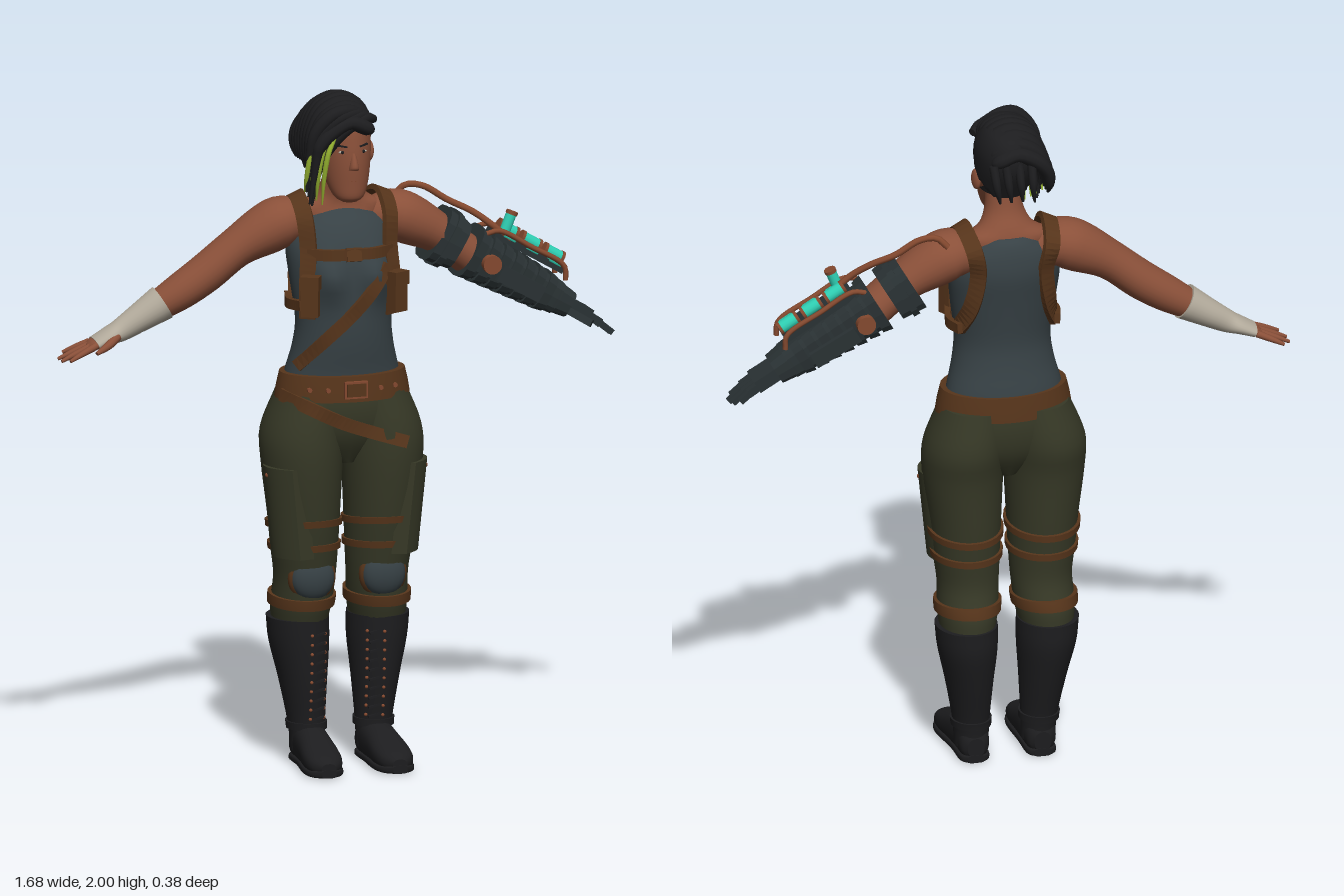
import * as THREE from 'three';

const V = (x, y, z) => new THREE.Vector3(x, y, z);
const mat = (name, color) => Object.assign(new THREE.MeshStandardMaterial({ color }), { name });
const M = {
  skin: mat('skin', 0x8a5039), tank: mat('slate cloth', 0x374145), olive: mat('olive cloth', 0x363826),
  black: mat('black hair and leather', 0x1d1d1f), brown: mat('brown leather', 0x57351b), copper: mat('copper', 0x84492f),
  wrap: mat('pale wrap', 0xb3ab9c), metal: mat('dark metal', 0x2a3234), teal: mat('teal glass', 0x2fcfb3), lime: mat('lime hair', 0x9cba33),
};

// Joins rings of points into a closed skin with flat ends
function stitch(rings, flat) {
  const n = rings[0].length, pos = [], idx = [];
  rings.forEach(r => r.forEach(p => pos.push(p.x, p.y, p.z)));
  for (let i = 0; i < rings.length - 1; i++) for (let j = 0; j < n; j++) {
    const a = i * n + j, b = i * n + (j + 1) % n;
    idx.push(a, b, a + n, b, b + n, a + n);
  }
  [rings[0], rings[rings.length - 1]].forEach((r, end) => {
    const base = pos.length / 3, c = V(0, 0, 0);
    r.forEach(p => { c.addScaledVector(p, 1 / n); pos.push(p.x, p.y, p.z); });
    pos.push(c.x, c.y, c.z);
    for (let j = 0; j < n; j++) {
      const a = base + j, b = base + (j + 1) % n;
      end ? idx.push(a, b, base + n) : idx.push(b, a, base + n);
    }
  });
  let g = new THREE.BufferGeometry();
  g.setAttribute('position', new THREE.Float32BufferAttribute(pos, 3));
  g.setIndex(idx);
  if (flat) g = g.toNonIndexed();
  g.computeVertexNormals();
  return g;
}

// Smooth loft through three or more rows [x, y, z, radiusU, radiusV]; axis 'y' or 'z' keeps the rings planar
function loft(rows, { axis, seg = 24, sub = 4, power = 2, warp, flat } = {}) {
  const path = new THREE.CatmullRomCurve3(rows.map(r => V(r[0], r[1], r[2])), false, 'catmullrom');
  const size = new THREE.CatmullRomCurve3(rows.map(r => V(r[3], r[4], 0)), false, 'catmullrom');
  const steps = (rows.length - 1) * sub, rings = [], last = rows[rows.length - 1];
  const bend = c => Math.sign(c) * Math.abs(c) ** (2 / power);
  for (let i = 0; i <= steps; i++) {
    const c = path.getPoint(i / steps), s = size.getPoint(i / steps);
    let t = path.getTangent(i / steps), u = V(0, 0, 1);
    if (axis) { t = axis === 'y' ? V(0, Math.sign(last[1] - rows[0][1]), 0) : V(0, 0, Math.sign(last[2] - rows[0][2])); u = V(1, 0, 0); }
    u.addScaledVector(t, -u.dot(t)).normalize();
    const v = t.clone().cross(u), ring = [];
    for (let j = 0; j < seg; j++) {
      const a = j / seg * Math.PI * 2;
      const p = c.clone().addScaledVector(u, s.x * bend(Math.cos(a))).addScaledVector(v, s.y * bend(Math.sin(a)));
      if (warp) warp(p);
      ring.push(p);
    }
    rings.push(ring);
  }
  return stitch(rings, flat);
}

// Strap with thickness, facing away from a moving centre
function strap(points, width, thick = 0.012) {
  const curve = new THREE.CatmullRomCurve3(points), rings = [], N = points.length * 5;
  for (let i = 0; i <= N; i++) {
    const p = curve.getPoint(i / N), t = curve.getTangent(i / N);
    const n = p.clone().sub(V(p.x * 0.6, Math.min(p.y, 1.56), -0.05));
    n.addScaledVector(t, -n.dot(t)).normalize();
    const s = t.clone().cross(n);
    rings.push([[-0.004, -1], [thick, -1], [thick, 1], [-0.004, 1]].map(([h, k]) => p.clone().addScaledVector(n, h).addScaledVector(s, k * width / 2)));
  }
  return stitch(rings, true);
}

function rowAt(rows, y) {
  let i = 0;
  while (i < rows.length - 2 && rows[i + 1][1] < y) i++;
  const k = THREE.MathUtils.clamp((y - rows[i][1]) / (rows[i + 1][1] - rows[i][1]), 0, 1);
  return rows[i].map((a, j) => a + (rows[i + 1][j] - a) * k);
}
function surf(rows, x, y, side = 1) {
  const r = rowAt(rows, y);
  return r[2] + side * r[4] * Math.sqrt(Math.max(0.04, 1 - ((x - r[0]) / r[3]) ** 2));
}
const band = (rows, y, h, off, tilt = 0) => loft([y - h / 2, y, y + h / 2].map(b => {
  const r = rowAt(rows, b);
  return [r[0], b, r[2], r[3] + off, r[4] + off];
}), { axis: 'y', sub: 1, seg: 28, warp: p => { p.y += tilt * p.z; } });

const torso = [[0, 1.1, -.043, .185, .118], [0, 1.17, -.04, .17, .115], [0, 1.25, -.027, .15, .112], [0, 1.33, -.022, .143, .11],
  [0, 1.45, -.033, .158, .115], [0, 1.54, -.047, .165, .115], [0, 1.6, -.06, .145, .098], [0, 1.64, -.072, .1, .074], [0, 1.66, -.075, .075, .055]];
const hips = [[0, .9, -.04, .04, .07], [0, .98, -.042, .2, .115], [0, 1.06, -.042, .208, .13], [0, 1.14, -.042, .185, .122]];
const leg = [[.118, .42, -.075, .08, .1], [.115, .48, -.065, .088, .108], [.11, .56, -.048, .09, .1], [.113, .65, -.042, .098, .11],
  [.116, .75, -.038, .105, .122], [.122, .9, -.036, .118, .135], [.118, 1.0, -.046, .12, .142], [.09, 1.12, -.045, .1, .12]];
const boot = [[.1, .04, -.05, .05, .058], [.102, .12, -.055, .054, .062], [.11, .25, -.066, .07, .088], [.118, .36, -.077, .087, .106], [.122, .435, -.078, .091, .108]];
const head = [[-.005, 1.685, .058, .022, .02], [-.005, 1.7, .05, .044, .044], [-.005, 1.74, .031, .061, .068], [-.005, 1.8, .004, .074, .099],
  [-.005, 1.86, -.018, .08, .118], [-.005, 1.92, -.026, .077, .115], [-.005, 1.965, -.03, .054, .085], [-.005, 1.985, -.03, .015, .02]];
const bust = p => { if (p.z > 0) p.z += 0.035 * Math.exp(-(((Math.abs(p.x) - .075) / .05) ** 2) - ((p.y - 1.46) / .06) ** 2) * Math.min(1, p.z / .04); };
const onChest = (x, y, side = 1) => { const p = V(x, y, surf(torso, x, y, side)); bust(p); p.z += side * .003; return p; };
const onHips = (x, y) => V(x, y, Math.max(surf(hips, x, y), surf(leg, Math.abs(x), y)) + .004);

export function createModel() {
  const model = new THREE.Group();
  const add = (name, geo, m, parent = model, pos, rot, scale) => {
    const mesh = new THREE.Mesh(geo, m);
    mesh.name = name;
    if (pos) mesh.position.set(...pos);
    if (rot) mesh.rotation.set(...rot);
    if (scale) mesh.scale.set(...scale);
    parent.add(mesh);
  };
  const box = (...s) => new THREE.BoxGeometry(...s);
  const cyl = (r, h, n = 14) => new THREE.CylinderGeometry(r, r, h, n);
  const ball = new THREE.SphereGeometry(1, 20, 14);
  const tube = (pts, r) => new THREE.TubeGeometry(new THREE.CatmullRomCurve3(pts.map(p => V(...p))), 24, r, 8);

  // Trunk
  add('tankTop', loft(torso, { axis: 'y', seg: 48, warp: bust }), M.tank);
  add('hips', loft(hips, { axis: 'y', seg: 32 }), M.olive);
  add('neck', loft([[0, 1.6, -.062, .1, .07], [0, 1.65, -.068, .13, .06], [0, 1.685, -.062, .08, .056], [0, 1.735, -.042, .056, .053], [0, 1.82, -.025, .052, .055]], { axis: 'y' }), M.skin);

  // Belts
  add('belt', loft([[0, 1.095, -.035, .202, .138], [0, 1.132, -.035, .196, .135], [0, 1.17, -.035, .187, .13]], { axis: 'y', sub: 1, seg: 36 }), M.brown);
  add('buckle', box(.07, .05, .012), M.copper, model, [0, 1.132, .104]);
  add('buckleCentre', box(.058, .038, .014), M.brown, model, [0, 1.132, .106]);
  for (const x of [-.13, -.08, .08, .13]) add('beltStud', cyl(.007, .012, 8), M.copper, model, [x, 1.132, -.035 + .137 * Math.sqrt(1 - (x / .197) ** 2)], [Math.PI / 2, 0, 0]);
  add('hipBelt', strap([[-.19, 1.11], [-.12, 1.075], [-.04, 1.035], [.05, 1], [.16, .965]].map(p => onHips(...p)), .038), M.brown);

  // Harness
  for (const s of [-1, 1]) {
    add('shoulderStrap', strap([onChest(s * .125, 1.34), onChest(s * .128, 1.44), onChest(s * .122, 1.54), V(s * .128, 1.635, .015), V(s * .128, 1.682, -.06),
      V(s * .115, 1.64, -.15), onChest(s * .1, 1.56, -1), onChest(s * .115, 1.45, -1), onChest(s * .138, 1.37, -1)], .048), M.brown);
    add('chestPouch', box(.05, .11, .034), M.brown, model, [s * .132, 1.41, .085], [0, s * .5, 0]);
    add('pouchFlap', box(.055, .04, .042), M.brown, model, [s * .132, 1.455, .087], [0, s * .5, 0]);
    add('sideStrap', strap([V(s * .142, 1.38, .045), V(s * .158, 1.375, -.03), V(s * .142, 1.38, -.1)], .03), M.brown);
  }
  add('chestStrap', strap([-.125, -.06, 0, .06, .125].map(x => onChest(x, 1.53)), .032), M.brown);
  add('chestBuckle', box(.045, .04, .012), M.brown, model, [0, 1.53, .084], [-.3, 0, 0]);
  add('diagonalStrap', strap([[.105, 1.49], [.05, 1.42], [-.01, 1.35], [-.08, 1.28], [-.15, 1.195]].map(p => onChest(...p)), .036), M.brown);

  // Legs, built for the left and mirrored through x
  for (const s of [-1, 1]) {
    const side = rows => rows.map(r => [r[0] * s, ...r.slice(1)]), L = side(leg), B = side(boot);
    add('trouserLeg', loft(L, { axis: 'y', seg: 32 }), M.olive);
    const pocket = box(.045, .27, .165, 1, 6, 10), p = pocket.attributes.position;
    for (let i = 0; i < p.count; i++) p.setX(i, s * (p.getX(i) - 6 * p.getZ(i) ** 2 + .1 * p.getY(i)));
    if (s < 0) pocket.setIndex([...pocket.index.array].reverse());
    pocket.computeVertexNormals();
    add('cargoPocket', pocket, M.olive, model, [s * .209, .765, .008], [0, s * -.2, 0]);
    add('pocketStud', ball, M.copper, model, [s * .241, .875, .01], null, [.006, .007, .007]);
    add('thighStrap', band(L, .725, .02, .008, .1), M.brown);
    add('kneeStrapUpper', band(L, .655, .02, .008, .05), M.brown);
    add('kneeStrapLower', band(L, .487, .032, .01, -.06), M.brown);
    add('kneePad', ball, M.tank, model, [s * .108, .565, .026], null, [.066, .068, .038]);
    add('kneePadRim', ball, M.brown, model, [s * .108, .565, .018], null, [.073, .076, .035]);
    add('bootShaft', loft(B, { axis: 'y', seg: 28 }), M.black);
    add('bootAnkleCuff', band(B, .115, .022, .006), M.black);
    add('bootFoot', loft(side([[.1, .045, -.112, .025, .03], [.1, .055, -.09, .044, .05], [.1, .063, -.03, .05, .06], [.103, .055, .04, .053, .052],
      [.106, .043, .11, .057, .039], [.108, .034, .16, .049, .03], [.108, .028, .19, .022, .016]]), { axis: 'z', power: 2.4 }), M.black);
    add('bootSole', loft(side([[.1, .012, -.114, .025, .012], [.1, .012, -.09, .045, .012], [.101, .012, 0, .048, .012], [.106, .012, .11, .059, .012],
      [.108, .012, .165, .05, .012], [.108, .014, .193, .022, .012]]), { axis: 'z', power: 4 }), M.black);
    for (let y = .14; y < .42; y += .028) {
      const x = s * .087;
      for (const k of [-1, 1]) add('eyelet', ball, M.copper, model, [x + k * .023, y, surf(B, x + k * .023, y) + .003], null, [.005, .005, .005]);
      add('lace', box(.04, .006, .008), M.black, model, [x, y, surf(B, x, y)], [0, 0, .25]);
    }
  }

  // Bare arms
  const arm = [[.08, 1.6, -.075, .05, .05], [.16, 1.61, -.072, .082, .073], [.22, 1.588, -.072, .083, .074], [.31, 1.538, -.075, .068, .058],
    [.4, 1.468, -.08, .066, .057], [.48, 1.415, -.083, .06, .053], [.56, 1.368, -.088, .046, .042], [.65, 1.315, -.09, .033, .03]];
  add('rightArm', loft(arm.map(r => [-r[0], ...r.slice(1)])), M.skin);
  add('leftArm', loft(arm.slice(0, 5)), M.skin);

  // Wrapped right hand
  add('wristWrap', loft([[-.53, 1.387, -.087, .057, .053], [-.6, 1.345, -.09, .046, .042], [-.655, 1.313, -.09, .038, .034], [-.69, 1.298, -.09, .046, .026], [-.735, 1.278, -.09, .046, .019]]), M.wrap);
  add('palm', loft([[-.69, 1.298, -.09, .038, .018], [-.735, 1.278, -.09, .043, .016], [-.755, 1.268, -.09, .038, .01]]), M.skin);
  [-.125, -.102, -.08, -.058].forEach((z, i) => {
    const l = [.075, .1, .1, .085][i], w = (z + .09) * .35;
    add('finger', loft([[-.74, 1.276, z, .011, .011], [-.74 - l * .5, 1.276 - l * .2, z + w, .01, .009], [-.74 - l, 1.276 - l * .42, z + 2 * w, .005, .005]], { seg: 10 }), M.skin);
  });
  add('thumb', loft([[-.675, 1.3, -.06, .014, .014], [-.71, 1.28, -.035, .012, .012], [-.75, 1.262, -.018, .006, .006]], { seg: 10 }), M.skin);

  // Mechanical left forearm, local x runs towards the fingers
  const g = new THREE.Group();
  g.name = 'mechanicalForearm';
  g.position.set(.42, 1.47, -.085);
  g.rotation.z = -.53;
  model.add(g);
  const hull = (x0, x1, h0, h1, w0, w1) => loft([[x0, 0, 0, w0, h0], [(x0 + x1) / 2, 0, 0, (w0 + w1) / 2, (h0 + h1) / 2], [x1, 0, 0, w1, h1]], { sub: 1, seg: 16, power: 3.4, flat: true });
  add('upperArmCuff', hull(-.145, -.07, .086, .076, .08, .078), M.metal, g);
  add('cuffRim', hull(-.12, -.1, .09, .088, .085, .084), M.metal, g);
  add('forearmCore', hull(-.03, .28, .072, .05, .074, .055), M.metal, g);
  for (let i = 0; i < 7; i++) {
    const x = -.03 + i * .042, h = .083 - i * .0035;
    add('forearmPlate', hull(x, x + .03, h, h - .006, h + .002, h - .004), M.metal, g);
  }
  for (const z of [-.084, .084]) {
    add('elbowDisc', cyl(.028, .024, 20), M.copper, g, [.03, 0, z], [Math.PI / 2, 0, 0]);
    add('sidePlate', box(.15, .05, .016), M.metal, g, [.14, -.01, z * .94], [0, Math.sign(z) * .06, 0]);
  }
  add('wristBlock', hull(.27, .325, .048, .04, .056, .05), M.metal, g);
  add('metalPalm', box(.08, .04, .085), M.metal, g, [.355, 0, 0]);
  for (let i = 0; i < 4; i++) {
    const z = -.034 + i * .0225, l = [.035, .046, .05, .042][i];
    add('metalFingerBase', box(l, .024, .019), M.metal, g, [.39 + l / 2, -.002, z], [0, 0, -.06]);
    add('metalFingerTip', box(l, .018, .016), M.metal, g, [.39 + l * 1.45, -.008, z], [0, 0, -.16]);
  }
  add('metalThumb', box(.075, .022, .022), M.metal, g, [.36, -.015, .062], [0, -.55, 0]);
  add('topRack', box(.24, .02, .09), M.metal, g, [.13, .08, 0]);
  for (const x of [.055, .135, .215]) {
    add('glassCell', cyl(.019, .05), M.teal, g, [x, .108, -.012], [0, 0, Math.PI / 2]);
    for (const k of [-1, 1]) add('cellCap', cyl(.021, .009), M.copper, g, [x + k * .029, .108, -.012], [0, 0, Math.PI / 2]);
    add('sideCell', cyl(.012, .04), M.teal, g, [x, .093, .036], [0, 0, Math.PI / 2]);
  }
  add('uprightCell', cyl(.016, .055), M.teal, g, [.035, .128, .02], [0, 0, .15]);
  add('uprightCap', cyl(.018, .01), M.copper, g, [.031, .158, .02], [0, 0, .15]);
  for (const z of [-.05, .056]) add('copperRail', tube([[-.02, .07, z], [.01, .095, z], [.12, .098, z], [.24, .094, z], [.265, .06, z]], .008), M.copper, g);
  add('shoulderPipe', tube([[.19, 1.655, -.13], [.22, 1.683, -.12], [.27, 1.678, -.11], [.34, 1.635, -.1], [.41, 1.6, -.075], [.47, 1.555, -.05], [.53, 1.5, -.05]], .01), M.copper);

  // Head and face
  add('head', loft(head, { axis: 'y', seg: 36 }), M.skin);
  add('nose', loft([[-.005, 1.785, .095, .017, .018], [-.005, 1.797, .1, .014, .018], [-.005, 1.835, .094, .007, .01]], { axis: 'y', seg: 12 }), M.skin);
  add('lips', ball, M.copper, model, [-.005, 1.752, .09], null, [.024, .008, .01]);
  for (const s of [-1, 1]) {
    const x = -.005 + s * .032, z = surf(head, x, 1.838);
    add('eye', ball, M.wrap, model, [x, 1.838, z - .003], null, [.011, .004, .005]);
    add('iris', ball, M.black, model, [x, 1.838, z + .001], null, [.005, .005, .004]);
    add('brow', box(.03, .005, .006), M.black, model, [x, 1.856, surf(head, x, 1.856)], [0, s * .4, s * .14]);
    add('ear', ball, M.skin, model, [-.005 + s * .083, 1.815, -.022], [0, s * .35, 0], [.011, .032, .02]);
  }

  // Close-cropped hair; the face side sinks under the skin
  const crop = p => {
    if (p.z > (p.y > 1.925 ? 1 : .055 - (1.925 - p.y) * .95)) { p.x *= .85; p.z = -.02 + (p.z + .02) * .85; }
  };
  add('croppedHair', loft(head.slice(3).map(r => [r[0], r[1] - (r[1] === 1.8 ? .02 : 0), r[2] - .002, r[3] + .006, r[4] + .006]), { axis: 'y', seg: 60, sub: 8, warp: crop }), M.black);

  // Long locks swept over a rounded crown towards the right
  for (let i = 0; i < 10; i++) {
    const z = .105 - i * .026, front = Math.max(0, 1 - i / 4), drop = .05 * ((z + .012) / .117) ** 2, tip = i > 5 ? .015 : 0;
    add('hairLock', loft([[.05, 1.93 - drop * .6, z * .9, .014, .012], [.03, 1.96 - drop, z, .025, .022], [-.02, 1.978 - drop, z * 1.03, .027, .022],
      [-.075, 1.952 - drop, z * 1.03, .027, .023], [-.108, 1.89 - drop * .5, z, .024, .02], [-.118, 1.825, z * .95, .018, .014],
      [-.115 - front * .02, 1.775 + tip - front * .085, z * .85, .004, .004]], { seg: 10 }), M.black);
  }
  // Diagonal fringe across the forehead
  for (let i = 0; i < 4; i++) {
    const d = i * .014;
    add('fringeLock', loft([[.068 - d, 1.925 + d * .5, .06 + d * .4, .012, .012], [.03 - d, 1.935 + d * .6, .09, .02, .018], [-.03 - d, 1.912 + d, .108, .02, .02],
      [-.078 - d, 1.86 + d, .1, .017, .019], [-.108 - d * .6, 1.79 + d, .085, .012, .013], [-.122 - d * .4, 1.68 + d, .066, .003, .003]], { seg: 10 }), M.black);
  }
  for (let i = 0; i < 4; i++) {
    const x = -.084 - i * .015, z = .117 - i * .009;
    add('limeStrand', loft([[x + .016, 1.89 + i * .008, z, .008, .006], [x - .004, 1.84, z, .009, .008], [x - .012, 1.77, z - .014, .008, .007], [x - .012, 1.685 + i * .012, z - .034, .002, .002]], { seg: 8 }), M.lime);
    add('napeLock', loft([[-.06 + i * .038, 1.9, -.135, .016, .014], [-.06 + i * .036, 1.84, -.152, .014, .012], [-.065 + i * .034, 1.785, -.148, .004, .004]], { seg: 8 }), M.black);
  }
  return model;
}
